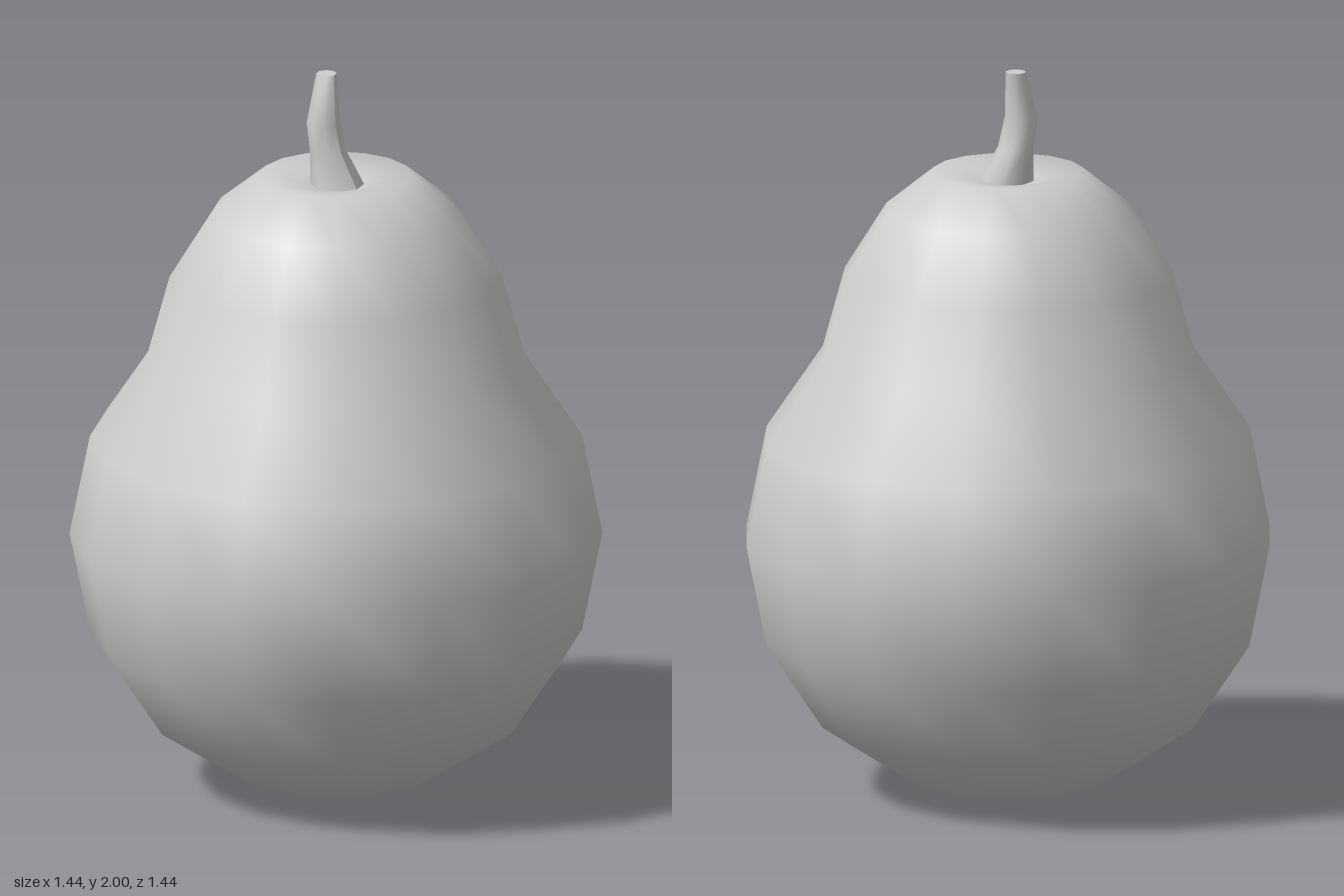
import * as THREE from 'three';

const skin = new THREE.MeshStandardMaterial({ name: 'pale grey', color: 0xcccccc });

// Pear body: a 16-sided turned profile with a shallow dip at the crown
function createBody() {
  const profile = [
    [0, 0], [0.275, 0.04], [0.51, 0.195], [0.665, 0.43], [0.72, 0.705],
    [0.665, 0.98], [0.51, 1.21], [0.45, 1.43], [0.335, 1.615], [0.205, 1.72],
    [0.08, 1.695], [0, 1.685],
  ].map(([r, y]) => new THREE.Vector2(r, y));
  const body = new THREE.Mesh(new THREE.LatheGeometry(profile, 16), skin);
  body.name = 'body';
  return body;
}

// Crooked stem: an 8-sided cylinder whose rings follow a bent, tapering path
function createStem() {
  const rings = [ // centre x, y, centre z, radius x, radius z
    [0, 1.68, 0.01, 0.075, 0.078],
    [-0.012, 1.79, -0.02, 0.047, 0.05],
    [-0.033, 1.87, -0.015, 0.045, 0.046],
    [-0.004, 2, -0.032, 0.028, 0.028],
  ];
  const geometry = new THREE.CylinderGeometry(1, 1, 1, 8, rings.length - 1);
  const p = geometry.attributes.position;
  for (let i = 0; i < p.count; i++) {
    const [x, y, z, rx, rz] = rings[Math.round((p.getY(i) + 0.5) * (rings.length - 1))];
    p.setXYZ(i, x + p.getX(i) * rx, y, z + p.getZ(i) * rz);
  }
  geometry.computeVertexNormals();
  const stem = new THREE.Mesh(geometry, skin);
  stem.name = 'stem';
  return stem;
}

export function createModel() {
  const pear = new THREE.Group();
  pear.name = 'pear';
  pear.add(createBody(), createStem());
  return pear;
}
